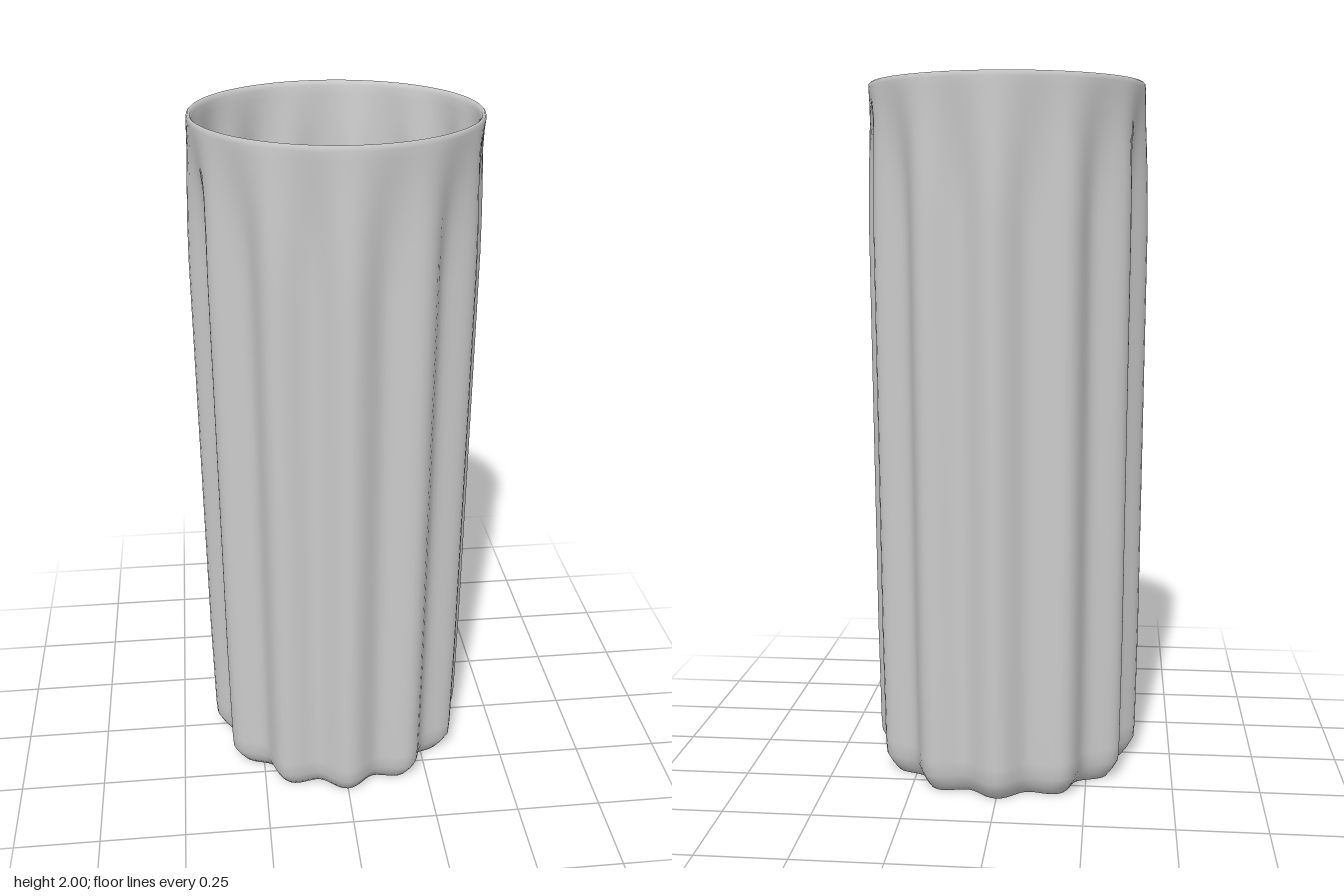
import * as THREE from 'three';

const LOBES = 12;
const COLUMNS = 144;

// Profile stations from the underside centre, up the outside, over the rim
// and down the inside to the floor: [height, mean radius, flute depth]
const outer = [
  [0, 0.334, 0.02], [0.025, 0.352, 0.021], [0.055, 0.368, 0.022], [0.1, 0.371, 0.022],
  [0.4, 0.376, 0.022], [1.0, 0.38, 0.022], [1.6, 0.384, 0.022], [1.72, 0.385, 0.019],
  [1.82, 0.387, 0.013], [1.9, 0.39, 0.006], [1.96, 0.393, 0.002], [1.985, 0.394, 0],
];
const rim = [[1.996, 0.393, 0], [2, 0.389, 0], [1.996, 0.384, 0]];
const WALL = 0.014;

function createProfile() {
  const inner = outer
    .map(([y, r, d]) => [y < 0.08 ? y * 0.8 + 0.022 : y, r - WALL, d])
    .reverse();
  return [[0, 0, 0], ...outer, ...rim, ...inner, [0.022, 0, 0]];
}

// Lofts the profile around the axis, waving each ring into lobes
function flutedShell(profile) {
  const positions = [];
  const indices = [];
  for (const [y, r, depth] of profile) {
    for (let j = 0; j < COLUMNS; j++) {
      const a = (j / COLUMNS) * Math.PI * 2;
      const radius = r + depth * Math.cos(LOBES * a);
      positions.push(Math.sin(a) * radius, y, Math.cos(a) * radius);
    }
  }
  for (let i = 0; i < profile.length - 1; i++) {
    for (let j = 0; j < COLUMNS; j++) {
      const k = (j + 1) % COLUMNS;
      const a = i * COLUMNS + j, b = i * COLUMNS + k;
      const c = a + COLUMNS, d = b + COLUMNS;
      if (profile[i][1] > 0) indices.push(a, b, c);
      if (profile[i + 1][1] > 0) indices.push(b, d, c);
    }
  }
  const geometry = new THREE.BufferGeometry();
  geometry.setAttribute('position', new THREE.Float32BufferAttribute(positions, 3));
  geometry.setIndex(indices);
  geometry.computeVertexNormals();
  return geometry;
}

export function createModel() {
  const group = new THREE.Group();
  group.name = 'flutedTumbler';
  const material = new THREE.MeshStandardMaterial({ color: 0xcccccc });
  const cup = new THREE.Mesh(flutedShell(createProfile()), material);
  cup.name = 'flutedCup';
  group.add(cup);
  return group;
}
